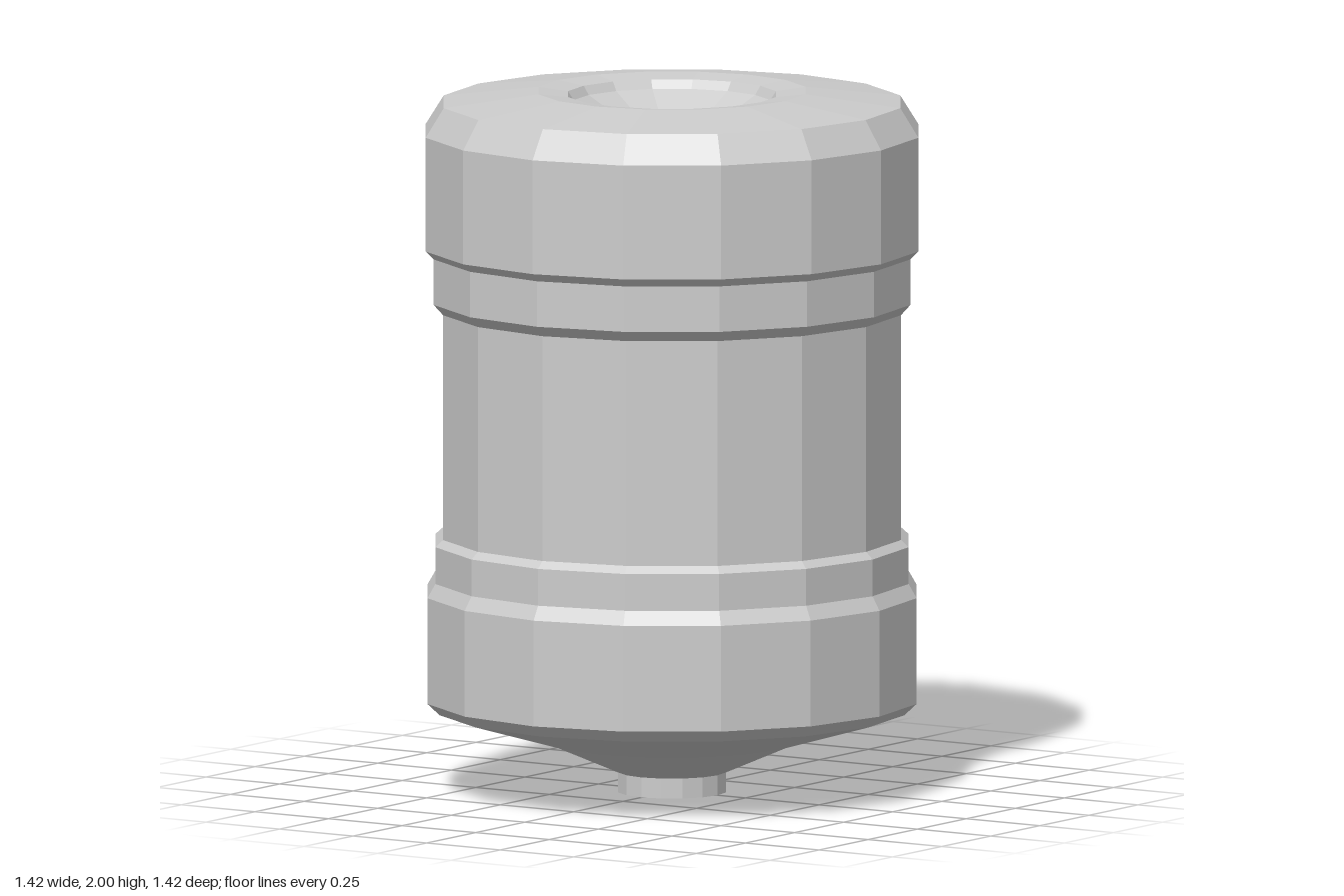
import * as THREE from 'three';

const SIDES = 16;

// Each profile lists [radius, height], running from the bottom up around the outside.
const PARTS = {
  nozzle: [[0, 0.08], [0.12, 0.08], [0.125, 0], [0.155, 0], [0.155, 0.057]],
  lowerCone: [[0.155, 0.057], [0.36, 0.145], [0.67, 0.235], [0.705, 0.268]],
  lowerBand: [[0.705, 0.268], [0.705, 0.57], [0.682, 0.61], [0.682, 0.715], [0.66, 0.735]],
  barrel: [[0.66, 0.735], [0.66, 1.377]],
  upperCollar: [[0.66, 1.377], [0.687, 1.407], [0.687, 1.537], [0.71, 1.56]],
  upperBand: [[0.71, 1.56], [0.71, 1.885], [0.658, 1.968]],
  topCap: [[0.658, 1.968], [0.385, 2], [0.3, 1.99]],
  topFunnel: [[0.3, 1.99], [0.283, 1.965], [0.11, 1.87], [0, 1.87]],
};

export function createModel() {
  const group = new THREE.Group();
  group.name = 'canister';
  const material = new THREE.MeshStandardMaterial({ color: 0xcccccc, flatShading: true });

  // Every part is a turned, faceted ring that meets the next one exactly.
  for (const [name, profile] of Object.entries(PARTS)) {
    const points = profile.map(([r, y]) => new THREE.Vector2(r, y));
    const mesh = new THREE.Mesh(new THREE.LatheGeometry(points, SIDES), material);
    mesh.name = name;
    group.add(mesh);
  }
  return group;
}
